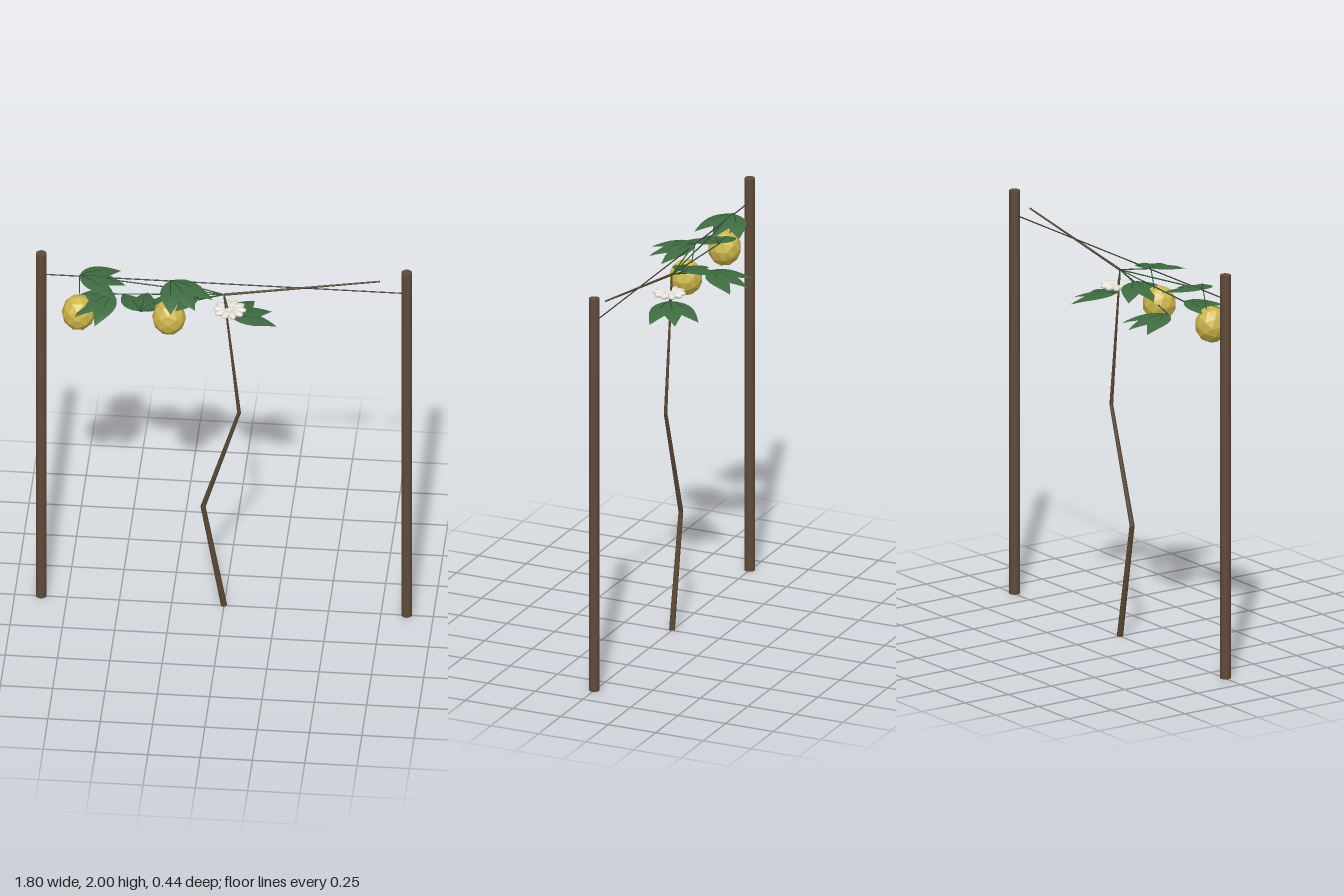
import * as THREE from 'three';

const mat = (name, color, extra = {}) => Object.assign(new THREE.MeshStandardMaterial({ color, ...extra }), { name });
const V = (x, y, z = 0) => new THREE.Vector3(x, y, z);

// Tapered round rod between two points
function rod(name, a, b, ra, rb, material, sides = 8) {
  const mesh = new THREE.Mesh(new THREE.CylinderGeometry(rb, ra, a.distanceTo(b), sides), material);
  mesh.position.copy(a).add(b).multiplyScalar(0.5);
  mesh.quaternion.setFromUnitVectors(V(0, 1, 0), b.clone().sub(a).normalize());
  mesh.name = name;
  return mesh;
}

// Drooping strip along +x whose half width follows a rule
function blade(length, halfWidth, lift, fold) {
  const g = new THREE.PlaneGeometry(2, 1, 2, 8);
  const p = g.attributes.position;
  for (let i = 0; i < p.count; i++) {
    const t = p.getY(i) + 0.5;
    const s = p.getX(i) * halfWidth(t);
    p.setXYZ(i, t * length, 0.03 * t - 0.075 * t * t - fold * Math.abs(s) + lift, s);
  }
  g.computeVertexNormals();
  return g;
}

export function createModel() {
  const model = new THREE.Group();
  model.name = 'fruitingVineOnTrellis';

  const wood = mat('post wood', 0x5f4a38);
  const bark = mat('vine bark', 0x5a4733);
  const wireGrey = mat('wire grey', 0x3c3c3c);
  const stalkGreen = mat('stalk green', 0x2f5232);
  const leafGreen = mat('leaf green', 0x3e6b40, { side: THREE.DoubleSide });
  const ribGreen = mat('rib green', 0x24422a, { side: THREE.DoubleSide });
  const yellow = mat('fruit yellow', 0xcdb64a, { flatShading: true });
  const white = mat('petal white', 0xe6e2da);

  // Posts and wire
  for (const [name, x] of [['leftPost', 0.873], ['rightPost', -0.873]]) {
    model.add(rod(name, V(x, 0), V(x, 2), 0.026, 0.026, wood, 12));
  }
  model.add(rod('wire', V(-0.873, 1.878), V(0.873, 1.878), 0.003, 0.003, wireGrey, 6));

  // Zigzag trunk and the long side shoot
  const trunk = [V(0, 0), V(-0.1, 0.57), V(0.072, 1.13), V(0, 1.815)];
  const radii = [0.015, 0.012, 0.009, 0.004];
  for (let i = 0; i < 3; i++) {
    model.add(rod('trunkSegment', trunk[i], trunk[i + 1], radii[i], radii[i + 1], bark));
    if (i) {
      const joint = new THREE.Mesh(new THREE.SphereGeometry(radii[i], 8, 6), bark);
      joint.position.copy(trunk[i]);
      joint.name = 'trunkJoint';
      model.add(joint);
    }
  }
  const crown = trunk[3];
  model.add(rod('sideShoot', crown, V(0.745, 1.94), 0.006, 0.004, bark, 6));

  // Three-lobed leaves: base x, base y, heading in degrees from +x towards +z
  const lobeGeo = blade(0.222, t => 0.05 * Math.sin(Math.PI * Math.pow(t, 0.8)), 0, 0.2);
  const ribGeo = blade(0.205, t => 0.0025 * (1 - 0.6 * t), 0.002, 0);
  const leaves = [
    [-0.69, 1.882, 0], [-0.53, 1.785, 140], [-0.255, 1.882, 53],
    [-0.117, 1.785, -170], [-0.4, 1.69, -86], [0.03, 1.69, -32],
  ];
  for (const [x, y, heading] of leaves) {
    const leaf = new THREE.Group();
    leaf.name = 'leaf';
    leaf.position.set(x, y, 0);
    for (const spread of [-32, 0, 32]) {
      const lobe = new THREE.Group();
      lobe.name = 'leafLobe';
      lobe.add(new THREE.Mesh(lobeGeo, leafGreen), new THREE.Mesh(ribGeo, ribGreen));
      lobe.children[0].name = 'lobeBlade';
      lobe.children[1].name = 'lobeRib';
      lobe.rotation.y = -THREE.MathUtils.degToRad(heading + spread);
      leaf.add(lobe);
    }
    model.add(leaf, rod('leafStalk', crown, V(x, y), 0.003, 0.003, stalkGreen, 6));
  }

  // Hanging fruit
  for (const x of [-0.69, -0.258]) {
    const fruit = new THREE.Mesh(new THREE.IcosahedronGeometry(0.081, 1), yellow);
    fruit.scale.y = 1.12;
    fruit.position.set(x, 1.702, 0.048);
    fruit.name = 'fruit';
    model.add(fruit, rod('fruitStalk', V(x, 1.878), V(x, 1.77, 0.02), 0.0025, 0.0025, stalkGreen, 6));
  }

  // Flat flower with a ring of petals
  const flower = new THREE.Group();
  flower.name = 'flower';
  flower.position.set(0.028, 1.73, 0);
  const petalGeo = new THREE.SphereGeometry(1, 10, 6).scale(0.034, 0.013, 0.019).translate(0.047, 0, 0);
  for (let i = 0; i < 10; i++) {
    const petal = new THREE.Mesh(petalGeo, white);
    petal.rotation.y = (i * Math.PI) / 5;
    petal.name = 'petal';
    flower.add(petal);
  }
  const heart = new THREE.Mesh(new THREE.SphereGeometry(0.025, 10, 6).scale(1, 0.4, 1), white);
  heart.name = 'flowerHeart';
  flower.add(heart);
  model.add(flower);

  return model;
}
